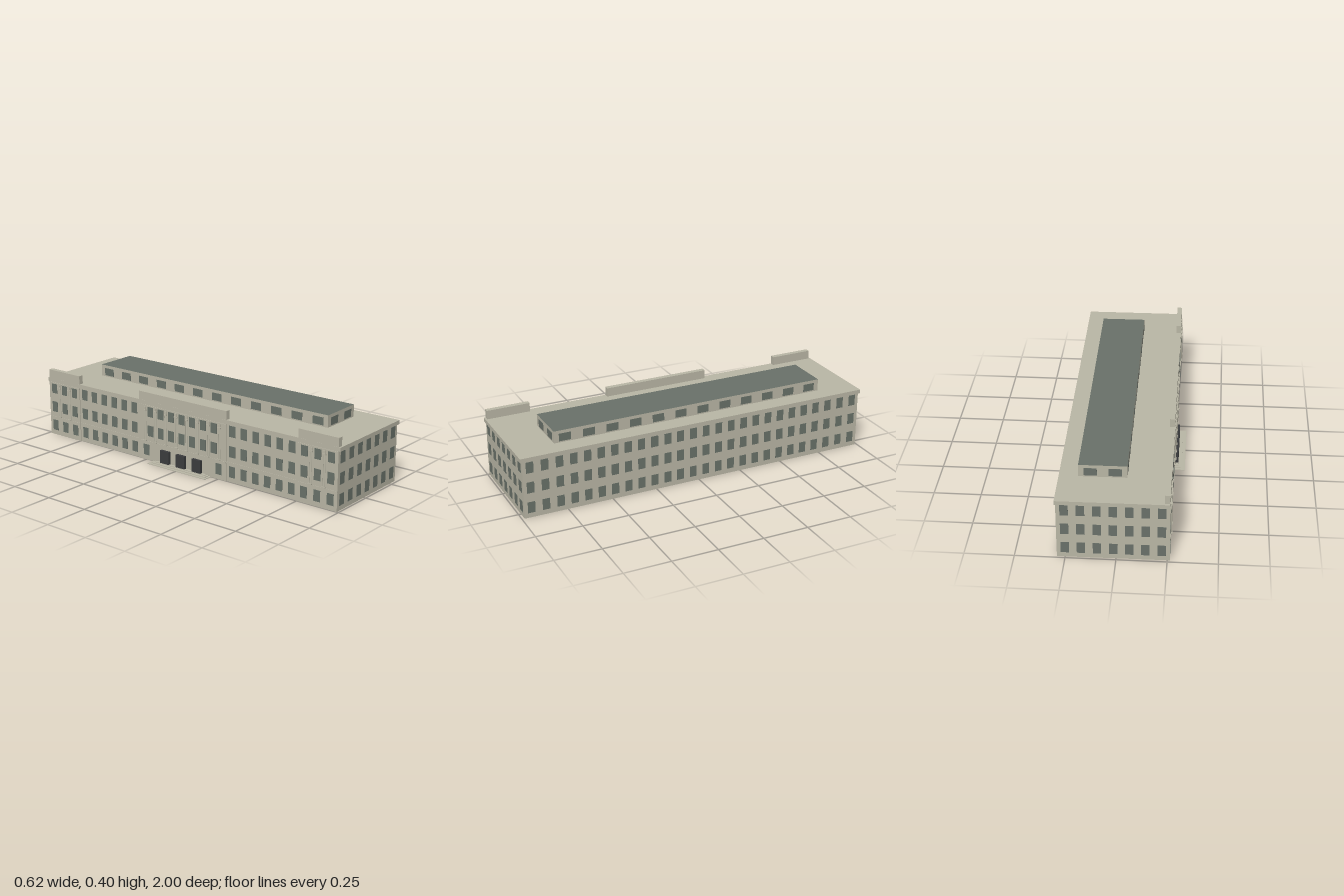
import * as THREE from 'three';

// Flat colours; the wall shells are open, so their faces show from both sides
const stone = new THREE.MeshStandardMaterial({ color: 0xb9b6a5, side: THREE.DoubleSide });
stone.name = 'stone';
const glass = new THREE.MeshStandardMaterial({ color: 0x697169, side: THREE.DoubleSide });
glass.name = 'greyGreen';
const dark = new THREE.MeshStandardMaterial({ color: 0x3b3c3e });
dark.name = 'darkDoor';

const FLOORS = [0.057, 0.168, 0.279];
const RIGHT = 0.2975;

// Box given by its limits
function box(parent, name, mat, x0, x1, y0, y1, z0, z1) {
  const m = new THREE.Mesh(new THREE.BoxGeometry(x1 - x0, y1 - y0, z1 - z0), mat);
  m.position.set((x0 + x1) / 2, (y0 + y1) / 2, (z0 + z1) / 2);
  m.name = name;
  parent.add(m);
}

// Thin pane set through a wall, turned by angle a about the vertical axis
function pane(parent, name, w, h, x, y, z, a) {
  const m = new THREE.Mesh(new THREE.BoxGeometry(w, h, 0.0024), glass);
  m.position.set(x, y, z);
  m.rotation.y = a;
  m.name = name;
  parent.add(m);
}

// Four outward walls, open below and above
function walls(parent, name, x0, x1, y0, y1, z0, z1) {
  const g = new THREE.Group();
  g.name = name;
  const cx = (x0 + x1) / 2, cy = (y0 + y1) / 2, cz = (z0 + z1) / 2;
  const sides = [[x1 - x0, cx, z1, 0], [z1 - z0, x1, cz, Math.PI / 2],
    [x1 - x0, cx, z0, Math.PI], [z1 - z0, x0, cz, -Math.PI / 2]];
  for (const [w, x, z, a] of sides) {
    const m = new THREE.Mesh(new THREE.PlaneGeometry(w, y1 - y0), stone);
    m.position.set(x, cy, z);
    m.rotation.y = a;
    m.name = 'wall';
    g.add(m);
  }
  parent.add(g);
  return g;
}

// Round column with base and capital
function column(parent, x, z) {
  const g = new THREE.Group();
  g.name = 'column';
  const shaft = new THREE.Mesh(new THREE.CylinderGeometry(0.006, 0.007, 0.17, 12), stone);
  shaft.position.y = 0.2;
  shaft.name = 'shaft';
  g.add(shaft);
  box(g, 'base', stone, -0.009, 0.009, 0.108, 0.115, -0.009, 0.009);
  box(g, 'capital', stone, -0.009, 0.009, 0.28, 0.288, -0.01, 0.01);
  box(g, 'impost', stone, -0.006, 0.006, 0.288, 0.305, -0.007, 0.007);
  g.position.set(x, 0, z);
  parent.add(g);
}

export function createModel() {
  const model = new THREE.Group();
  const building = new THREE.Group();
  building.name = 'building';
  building.rotation.y = 0.0068;
  model.add(building);

  // Five blocks in a row: pavilions, links and the centre
  const blocks = [
    { name: 'endPavilion', z0: -0.988, z1: -0.75, n: 3, x0: -0.256, columns: 2 },
    { name: 'linkWing', z0: -0.75, z1: -0.3, n: 6, x0: -0.252, columns: 0 },
    { name: 'centreBlock', z0: -0.3, z1: 0.3, n: 8, x0: -0.256, columns: 8 },
    { name: 'linkWing', z0: 0.3, z1: 0.75, n: 6, x0: -0.252, columns: 0 },
    { name: 'endPavilion', z0: 0.75, z1: 0.988, n: 3, x0: -0.256, columns: 2 },
  ];
  for (const b of blocks) {
    const g = walls(building, b.name, b.x0, RIGHT, 0, 0.316, b.z0, b.z1);
    const centre = b.name === 'centreBlock';
    const step = (b.z1 - b.z0) / b.n;

    FLOORS.forEach((y, floor) => {
      // Windows on the long sides
      for (let i = 0; i < b.n; i++) {
        const z = b.z0 + (i + 0.5) * step;
        pane(g, 'window', 0.04, 0.061, RIGHT, y, z, Math.PI / 2);
        if (!centre) pane(g, 'window', 0.04, 0.061, b.x0, y, z, Math.PI / 2);
      }
      // Windows between the portico columns, and beside the doors
      if (centre) {
        const places = floor ? [-3, -2, -1, 0, 1, 2, 3].map((i) => i * 0.073) : [-0.25, 0.25];
        for (const z of places) pane(g, 'porticoWindow', 0.04, 0.061, b.x0, y, z, Math.PI / 2);
      }
      // Windows on the short sides
      for (let i = 0; i < 7; i++) {
        const x = -0.2155 + i * 0.0788;
        pane(g, 'window', 0.041, 0.062, x, y, b.z1, 0);
        pane(g, 'window', 0.041, 0.062, x, y, b.z0, 0);
      }
    });

    if (b.columns) {
      // Columns with their ledge, lintel and the parapet above
      const spacing = centre ? 0.073 : step;
      const mid = (b.z0 + b.z1) / 2;
      for (let i = 0; i < b.columns; i++) {
        column(g, b.x0 + 0.001, mid + (i - (b.columns - 1) / 2) * spacing);
      }
      box(g, 'ledge', stone, b.x0 - 0.002, b.x0 + 0.002, 0.1, 0.108, b.z0, b.z1);
      box(g, 'lintel', stone, b.x0 - 0.003, b.x0 + 0.002, 0.305, 0.313, b.z0, b.z1);
      box(g, 'parapet', stone, -0.2545, -0.227, 0.33, 0.384, b.z0, b.z1);
    } else {
      box(g, 'beltCourse', stone, b.x0 - 0.002, b.x0 + 0.002, 0.1, 0.11, b.z0, b.z1);
    }
  }

  // Roof slab with a slight overhang
  box(building, 'roofCornice', stone, -0.255, 0.3025, 0.3145, 0.336, -0.998, 0.998);

  // Rooftop storey
  const top = walls(building, 'rooftopStorey', -0.036, 0.2055, 0.336, 0.402, -0.78, 0.78);
  const lid = new THREE.Mesh(new THREE.PlaneGeometry(0.2415, 1.56), glass);
  lid.rotation.x = -Math.PI / 2;
  lid.position.set(0.08475, 0.402, 0);
  lid.name = 'rooftopCover';
  top.add(lid);
  for (let i = 0; i < 12; i++) {
    const z = (i - 5.5) * 0.131;
    for (const x of [-0.036, 0.2055]) pane(top, 'rooftopWindow', 0.066, 0.042, x, 0.364, z, Math.PI / 2);
  }
  for (const x of [0.0235, 0.1465]) {
    for (const z of [-0.78, 0.78]) pane(top, 'rooftopWindow', 0.065, 0.042, x, 0.364, z, 0);
  }

  // Entrance doors and steps
  for (const z of [-0.11, 0, 0.11]) {
    box(building, 'entranceDoor', dark, -0.273, -0.25, 0.008, 0.08, z - 0.03, z + 0.03);
  }
  [[-0.309, 0.003, 0.2], [-0.291, 0.006, 0.185], [-0.275, 0.009, 0.17]].forEach(([x, y, z]) => {
    box(building, 'entranceStep', stone, x, -0.25, 0, y, -z, z);
  });

  return model;
}
